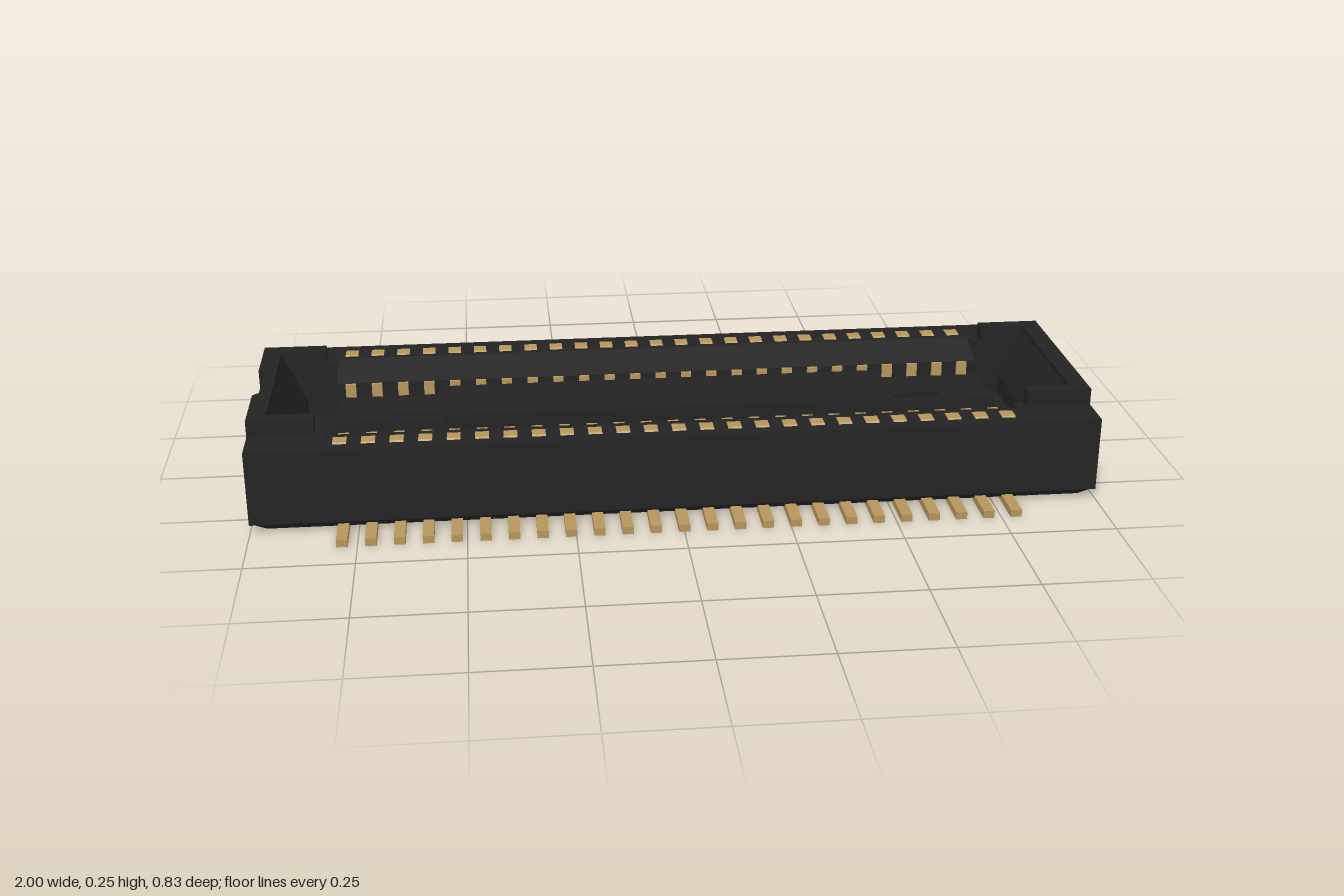
import * as THREE from 'three';

export function createModel() {
  const model = new THREE.Group();
  const black = new THREE.MeshStandardMaterial({ color: 0x232323 });
  black.name = 'black plastic';
  const gold = new THREE.MeshStandardMaterial({ color: 0xb8965c });
  gold.name = 'gold contact';

  const add = (name, geo, mat = black) => {
    const m = new THREE.Mesh(geo, mat);
    m.name = name;
    model.add(m);
    return m;
  };
  // Box given by its limits on each axis
  const block = (name, x0, x1, y0, y1, z0, z1, mat) =>
    add(name, new THREE.BoxGeometry(x1 - x0, y1 - y0, z1 - z0)
      .translate((x0 + x1) / 2, (y0 + y1) / 2, (z0 + z1) / 2), mat);
  // Profile of [z, y] points, swept along x between two limits
  const sweepX = (pts, x0, x1) => {
    const shape = new THREE.Shape(pts.map(([z, y]) => new THREE.Vector2(-z, y)));
    return new THREE.ExtrudeGeometry(shape, { depth: x1 - x0, bevelEnabled: false })
      .rotateY(Math.PI / 2).translate(x0, 0, 0);
  };
  // Plan outline with the alignment notch in the -x end
  const plan = (endX, halfZ) => new THREE.Shape([
    [-endX, -halfZ], [endX, -halfZ], [endX, halfZ], [-endX, halfZ],
    [-endX, 0.08], [-0.985, 0.065], [-0.985, -0.065], [-endX, -0.08],
  ].map(([x, z]) => new THREE.Vector2(x, -z)));

  // Floor, with a tapered underside
  const floor = new THREE.ExtrudeGeometry(plan(1, 0.333), { depth: 0.036, bevelEnabled: false });
  add('floor', floor.rotateX(-Math.PI / 2).translate(0, 0.024, 0));
  const under = new THREE.BoxGeometry(1.97, 0.014, 0.666).translate(0, 0.017, 0);
  const p = under.attributes.position;
  for (let i = 0; i < p.count; i++) {
    if (p.getY(i) < 0.015) {
      p.setX(i, Math.sign(p.getX(i)) * 0.96);
      p.setZ(i, Math.sign(p.getZ(i)) * 0.323);
    }
  }
  under.computeVertexNormals();
  add('underside', under);

  // Long side walls with a sloped lead-in, and the corner blocks
  for (const s of [-1, 1]) {
    const wall = [[0.333, 0.06], [0.333, 0.205], [0.245, 0.205], [0.16, 0.17], [0.16, 0.06]]
      .map(([z, y]) => [z * s, y]);
    add('sideWall', sweepX(wall, -0.82, 0.82));
    for (const e of [-1, 1]) {
      const x = [0.82 * e, 0.985 * e].sort((a, b) => a - b);
      block('cornerBlock', x[0], x[1], 0.06, 0.205, s > 0 ? 0.21 : -0.333, s > 0 ? 0.333 : -0.21);
      const r = [0.845 * e, 0.985 * e].sort((a, b) => a - b);
      block('raisedArm', r[0], r[1], 0.205, 0.245, s > 0 ? 0.205 : -0.24, s > 0 ? 0.24 : -0.205);
    }
  }

  // End walls: lower full-width part, raised middle, sloped inner face
  const endPart = (name, y0, y1, halfZ) => {
    block(name, 0.955, 1, y0, y1, -halfZ, halfZ);
    const shape = new THREE.Shape([
      [-1, -halfZ], [-0.955, -halfZ], [-0.955, halfZ], [-1, halfZ],
      [-1, 0.08], [-0.985, 0.065], [-0.985, -0.065], [-1, -0.08],
    ].map(([x, z]) => new THREE.Vector2(x, -z)));
    add(name, new THREE.ExtrudeGeometry(shape, { depth: y1 - y0, bevelEnabled: false })
      .rotateX(-Math.PI / 2).translate(0, y0, 0));
  };
  endPart('endWall', 0.06, 0.205, 0.333);
  endPart('raisedEnd', 0.205, 0.245, 0.24);
  for (const e of [-1, 1]) {
    const slope = sweepX([[0.955, 0.06], [0.955, 0.235], [0.9, 0.11], [0.9, 0.06]], -0.21, 0.21);
    add('endLeadIn', slope.rotateY(e * Math.PI / 2));
  }

  // Central tongue with a wider middle and stepped ends
  block('tongue', -0.81, 0.81, 0.06, 0.165, -0.08, 0.08);
  block('tongueMiddle', -0.55, 0.55, 0.06, 0.18, -0.096, 0.096);
  block('tongueStep', -0.68, 0.68, 0.165, 0.176, -0.055, 0.055);

  // Two rows of contacts: solder foot, wall-top pad and inner strip
  const count = 25, pitch = 0.0654;
  for (let i = 0; i < count; i++) {
    const x = (i - (count - 1) / 2) * pitch;
    for (const s of [-1, 1]) {
      const span = (a, b) => (s > 0 ? [a, b] : [-b, -a]);
      block('solderFoot', x - 0.013, x + 0.013, 0, 0.018, ...span(0.29, 0.415), gold);
      const pad = [[0.306, 0.2], [0.296, 0.208], [0.264, 0.208], [0.252, 0.2]].map(([z, y]) => [z * s, y]);
      add('contactPad', sweepX(pad, x - 0.016, x + 0.016), gold);
      block('innerContact', x - 0.013, x + 0.013, 0.06, 0.17, ...span(0.152, 0.163), gold);
    }
  }
  return model;
}
